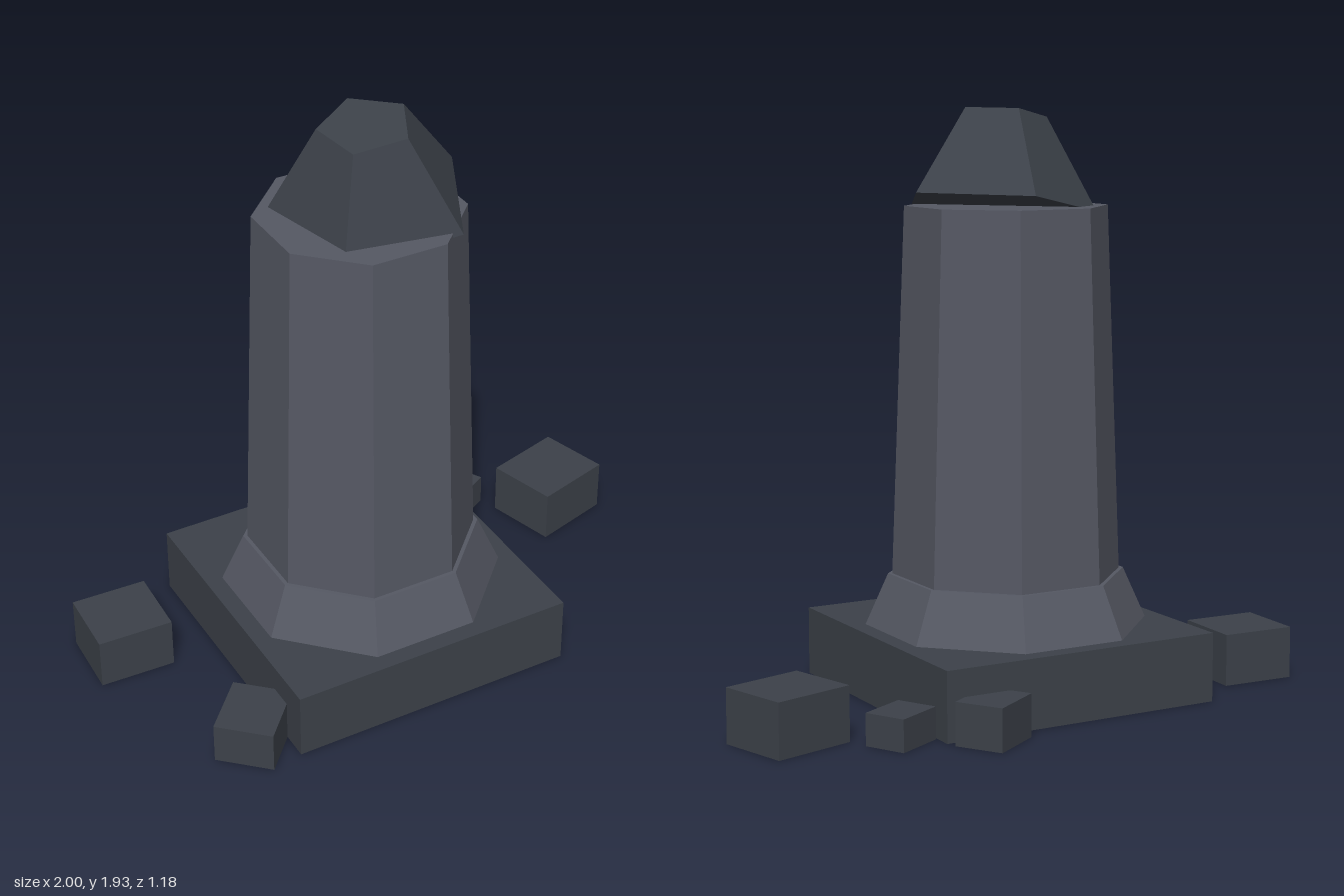
import * as THREE from 'three';

export function createModel() {
  const model = new THREE.Group();
  const darkStone = new THREE.MeshStandardMaterial({ color: 0x3c4149, flatShading: true });
  const paleStone = new THREE.MeshStandardMaterial({ color: 0x555863, flatShading: true });
  const cx = -0.085, cz = 0.075; // axis of the pillar

  function add(name, geometry, material, x, y, z, turn = 0) {
    const mesh = new THREE.Mesh(geometry, material);
    mesh.name = name;
    mesh.position.set(x, y, z);
    mesh.rotation.y = turn;
    model.add(mesh);
    return mesh;
  }

  // Eight-sided tapered block with flats facing the axes, sized by half width
  function octagon(name, bottom, top, y0, y1) {
    const k = 1 / Math.cos(Math.PI / 8);
    const geometry = new THREE.CylinderGeometry(top * k, bottom * k, y1 - y0, 8);
    add(name, geometry, paleStone, cx, (y0 + y1) / 2, cz, Math.PI / 8);
  }

  // Square base, flared plinth and tapering shaft
  add('base', new THREE.BoxGeometry(0.99, 0.23, 0.99), darkStone, cx, 0.115, cz);
  octagon('plinth', 0.435, 0.365, 0.23, 0.4);
  octagon('shaft', 0.352, 0.31, 0.4, 1.615);

  // Five-sided broken cap, tilted on top of the shaft
  const capGeometry = new THREE.CylinderGeometry(0.15, 0.33, 0.297, 5);
  capGeometry.rotateY(THREE.MathUtils.degToRad(28.3));
  const cap = add('cap', capGeometry, darkStone, -0.053, 1.765, 0.073);
  const lean = new THREE.Vector3(-0.132, 1, 0.114).normalize();
  cap.quaternion.setFromUnitVectors(new THREE.Vector3(0, 1, 0), lean);

  // Fallen blocks: x, z, width, height, depth, turn
  const blocks = [
    [-0.866, -0.166, 0.257, 0.175, 0.246, -0.042],
    [-0.685, 0.444, 0.197, 0.14, 0.22, -0.75],
    [0.273, -0.468, 0.197, 0.14, 0.162, 0.573],
    [0.527, -0.337, 0.175, 0.105, 0.141, 0.49],
    [0.829, -0.168, 0.283, 0.18, 0.25, 0.268],
  ];
  blocks.forEach(([x, z, w, h, d, turn], i) => {
    add(`fallenBlock${i + 1}`, new THREE.BoxGeometry(w, h, d), darkStone, x, h / 2, z, turn);
  });

  return model;
}
